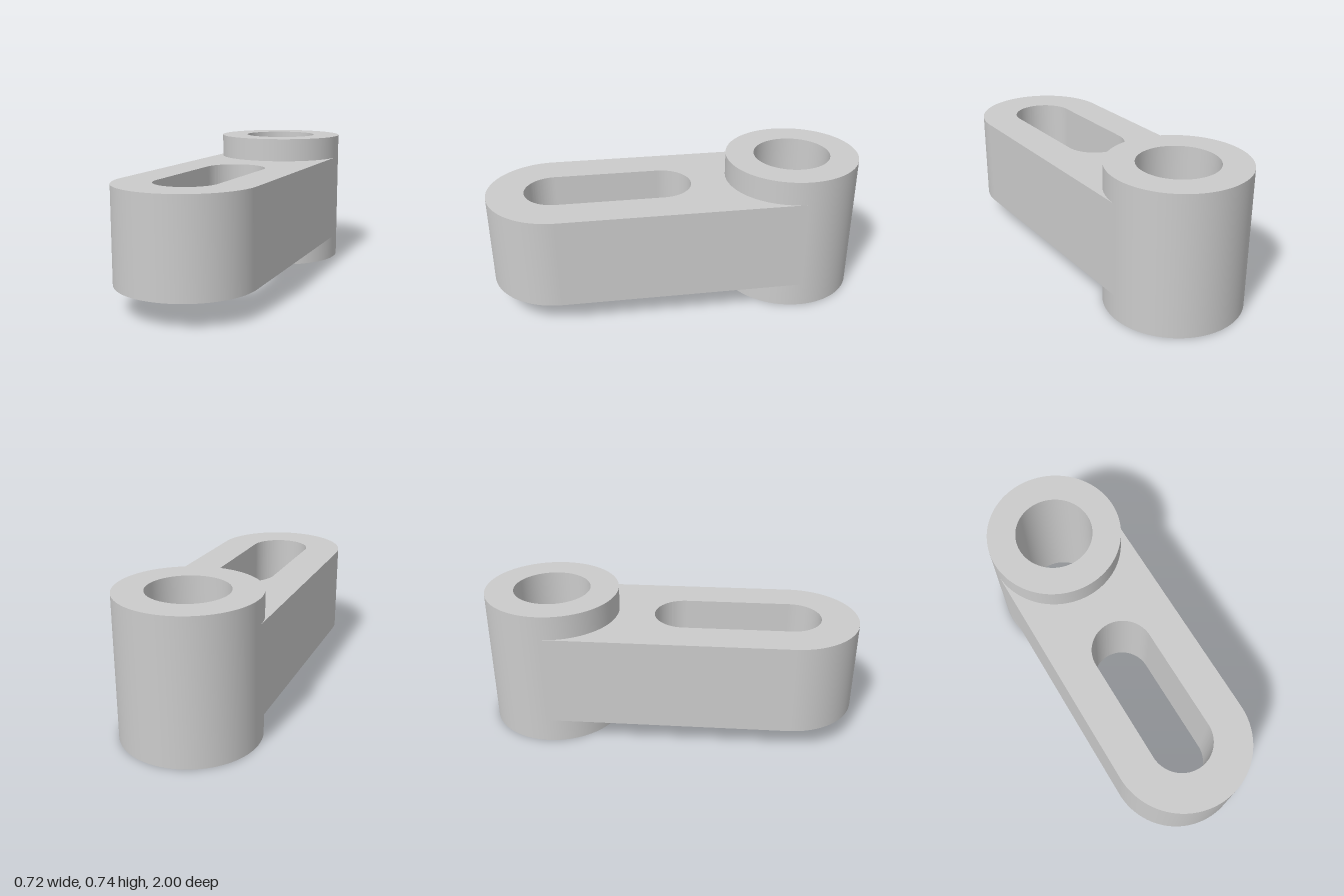
import * as THREE from 'three';
import { toCreasedNormals } from 'three/addons/utils/BufferGeometryUtils.js';

const R = 0.358;        // outer radius of boss and arm end
const BOSS_Z = -0.642;  // boss axis
const END_Z = 0.642;    // axis of the rounded arm end
const HEIGHT = 0.744;
const ARM_BOTTOM = 0.13, ARM_TOP = 0.616;

const material = new THREE.MeshStandardMaterial({ color: 0xcccccc });

// Extrude a plan outline (shape x, y = model x, z) between two heights
function plate(name, shape, bottom, top) {
  const extruded = new THREE.ExtrudeGeometry(shape, {
    depth: top - bottom, bevelEnabled: false, curveSegments: 48,
  });
  extruded.rotateX(Math.PI / 2).translate(0, top, 0);
  const mesh = new THREE.Mesh(toCreasedNormals(extruded, 0.5), material);
  mesh.name = name;
  return mesh;
}

export function createModel() {
  const group = new THREE.Group();
  group.name = 'slottedLever';

  // Cylindrical boss with a through bore
  const ring = new THREE.Shape().absarc(0, BOSS_Z, R, 0, Math.PI * 2, false);
  ring.holes.push(new THREE.Path().absarc(0, BOSS_Z, 0.206, 0, Math.PI * 2, true));
  group.add(plate('boss', ring, 0, HEIGHT));

  // Arm: rounded at the front, hollowed at the back to fit around the boss
  const arm = new THREE.Shape();
  arm.moveTo(R, BOSS_Z);
  arm.lineTo(R, END_Z);
  arm.absarc(0, END_Z, R, 0, Math.PI, false);
  arm.lineTo(-R, BOSS_Z);
  arm.absarc(0, BOSS_Z, R, Math.PI, 0, true);

  // Rounded slot through the arm
  const slotR = 0.163, slotBack = 0.075, slotFront = 0.639;
  const slot = new THREE.Path();
  slot.moveTo(slotR, slotBack);
  slot.lineTo(slotR, slotFront);
  slot.absarc(0, slotFront, slotR, 0, Math.PI, false);
  slot.lineTo(-slotR, slotBack);
  slot.absarc(0, slotBack, slotR, Math.PI, Math.PI * 2, false);
  arm.holes.push(slot);
  group.add(plate('slottedArm', arm, ARM_BOTTOM, ARM_TOP));

  return group;
}
